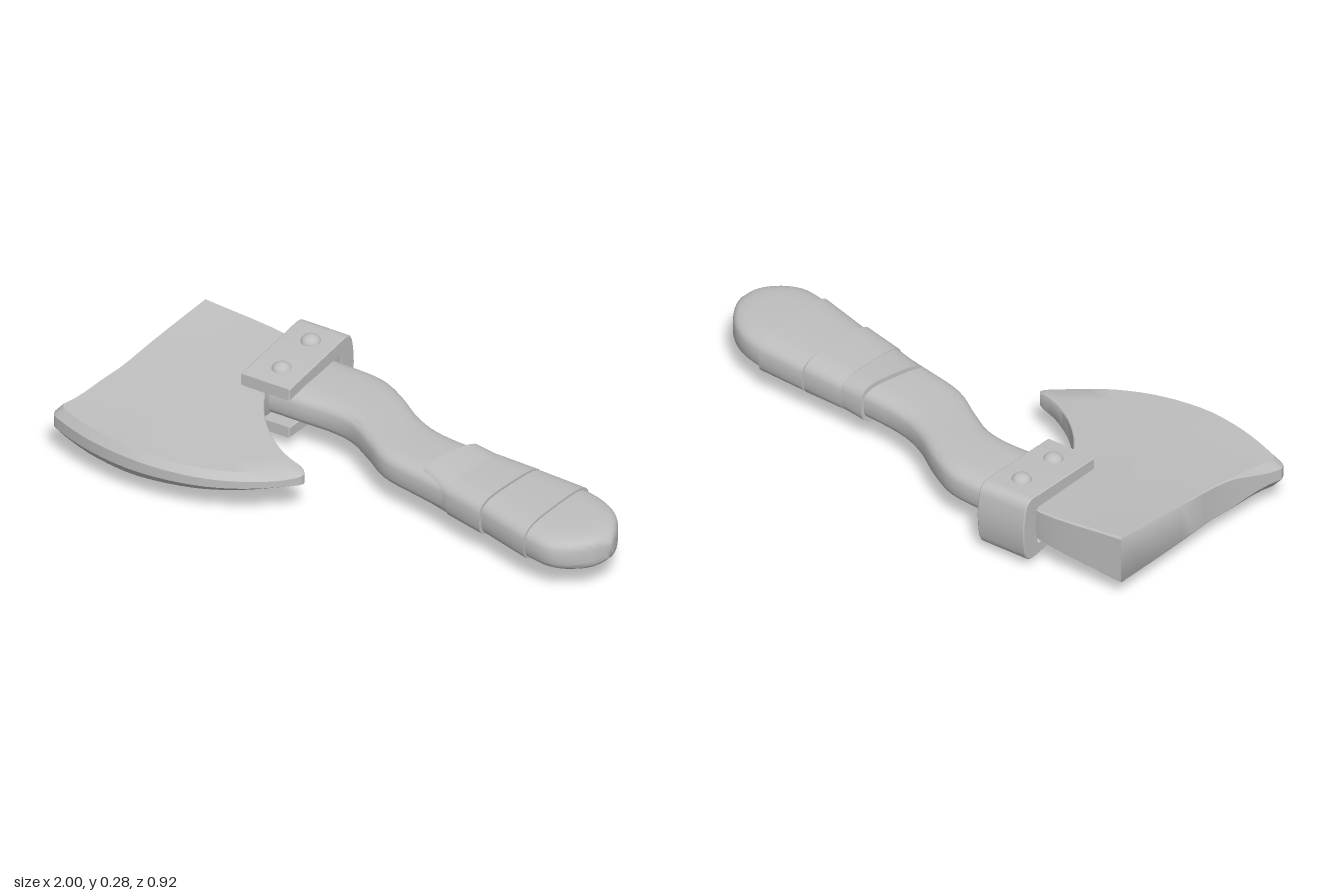
import * as THREE from 'three';
import { toCreasedNormals } from 'three/addons/utils/BufferGeometryUtils.js';

const V = (x, y, z) => new THREE.Vector3(x, y, z);

// Skin over equal-length closed rings, with both ends closed by fans
function loft(rings, crease) {
  const n = rings[0].length, pos = [], idx = [];
  rings.forEach(r => r.forEach(p => pos.push(p.x, p.y, p.z)));
  for (let i = 0; i < rings.length - 1; i++) {
    for (let j = 0; j < n; j++) {
      const a = i * n + j, b = i * n + (j + 1) % n;
      idx.push(a, b, a + n, b, b + n, a + n);
    }
  }
  [0, rings.length - 1].forEach(i => {
    const c = rings[i].reduce((s, p) => s.add(p), V(0, 0, 0)).divideScalar(n);
    const k = pos.length / 3;
    pos.push(c.x, c.y, c.z);
    for (let j = 0; j < n; j++) {
      const a = i * n + j, b = i * n + (j + 1) % n;
      if (i === 0) idx.push(k, b, a); else idx.push(k, a, b);
    }
  });
  // Turn the skin outward if its signed volume is negative
  const at = i => V(pos[3 * i], pos[3 * i + 1], pos[3 * i + 2]);
  let volume = 0;
  for (let i = 0; i < idx.length; i += 3) volume += at(idx[i]).dot(at(idx[i + 1]).cross(at(idx[i + 2])));
  if (volume < 0) idx.reverse();
  const g = new THREE.BufferGeometry();
  g.setAttribute('position', new THREE.Float32BufferAttribute(pos, 3));
  g.setIndex(idx);
  return toCreasedNormals(g, crease);
}

// Rounded-box section between a back point and a front point of the grip
function section([bx, bz, fx, fz, h], cy = 0.141, n = 36, power = 3.6) {
  const soft = v => Math.sign(v) * Math.pow(Math.abs(v), 2 / power);
  return Array.from({ length: n }, (_, i) => {
    const t = i / n * Math.PI * 2, u = soft(Math.cos(t)) / 2 + 0.5;
    return V(bx + (fx - bx) * u, cy + h * soft(Math.sin(t)), bz + (fz - bz) * u);
  });
}

export function createModel() {
  const model = new THREE.Group();
  const grey = new THREE.MeshStandardMaterial({ color: 0xbfbfbf });
  grey.name = 'grey';
  const add = (name, geometry) => {
    const m = new THREE.Mesh(geometry, grey);
    m.name = name;
    model.add(m);
    return m;
  };

  // Handle: back x, back z, front x, front z, half thickness
  const stations = [
    [-0.5, -0.385, -0.5, -0.1, 0.062], [-0.35, -0.385, -0.35, -0.1, 0.063],
    [-0.17, -0.37, -0.2, -0.1, 0.063], [-0.06, -0.315, -0.12, -0.083, 0.062],
    [0.05, -0.24, -0.02, -0.025, 0.06], [0.15, -0.197, 0.09, 0.045, 0.06],
    [0.33, -0.172, 0.26, 0.085, 0.063], [0.56, -0.16, 0.53, 0.142, 0.065],
    [0.76, -0.153, 0.75, 0.203, 0.065], [0.86, -0.125, 0.85, 0.218, 0.064],
    [0.93, -0.075, 0.915, 0.19, 0.061], [0.975, -0.01, 0.965, 0.14, 0.052],
    [0.998, 0.05, 0.995, 0.085, 0.03],
  ];
  const back = new THREE.CatmullRomCurve3(stations.map(s => V(s[0], s[4], s[1])));
  const front = new THREE.CatmullRomCurve3(stations.map(s => V(s[2], s[4], s[3])));
  const rings = [];
  for (let i = 0; i <= 60; i++) {
    const b = back.getPoint(i / 60), f = front.getPoint(i / 60);
    rings.push(section([b.x, b.z, f.x, f.z, b.y]));
  }
  add('handle', loft(rings, 0.9));

  // Overlapping grip wraps
  const wraps = [
    [[0.33, -0.182, 0.255, 0.068, 0.079], [0.44, -0.174, 0.395, 0.118, 0.068]],
    [[0.415, -0.178, 0.385, 0.118, 0.071], [0.575, -0.17, 0.54, 0.156, 0.075]],
    [[0.58, -0.172, 0.545, 0.148, 0.07], [0.765, -0.16, 0.75, 0.21, 0.073]],
  ];
  wraps.forEach(([a, b], i) => {
    const mid = a.map((v, k) => (v + b[k]) / 2);
    add('gripWrap' + (i + 1), loft([a, mid, b].map(s => section(s)), 0.7));
  });

  // Blade outline as x, z: straight poll and neck, then smooth edges
  const outline = [];
  const edge = (pts, n) => {
    const c = new THREE.CatmullRomCurve3(pts.map(p => V(p[0], 0, p[1])));
    for (let i = 0; i < n; i++) outline.push(c.getPoint(i / n));
  };
  edge([[-0.89, -0.4], [-0.56, -0.398], [-0.44, -0.36]], 8);
  edge([[-0.44, -0.36], [-0.45, -0.08]], 6);
  edge([[-0.45, -0.08], [-0.38, 0.03], [-0.28, 0.13], [-0.18, 0.187], [-0.11, 0.21]], 14);
  edge([[-0.11, 0.21], [-0.096, 0.235], [-0.14, 0.29], [-0.25, 0.37], [-0.4, 0.432],
    [-0.6, 0.457], [-0.8, 0.432], [-0.95, 0.382], [-0.99, 0.362], [-1, 0.34]], 36);
  edge([[-1, 0.34], [-0.955, 0.2], [-0.927, 0.07], [-0.915, -0.1], [-0.89, -0.4]], 12);

  // The blade thins from the poll toward the cutting edge and its tip
  const { clamp, lerp, smoothstep } = THREE.MathUtils;
  const half = (x, z) => lerp(
    lerp(0.092, 0.052, clamp((x + 0.9) / 0.42, 0, 1)),
    lerp(0.052, 0.026, clamp((x + 0.65) / 0.55, 0, 1)),
    clamp((z + 0.4) / 0.7, 0, 1));
  const middle = z => lerp(0.15, 0.127, clamp((z + 0.4) / 0.8, 0, 1));
  const layer = (side, scale, rim) => outline.map(p => {
    const sharp = smoothstep(p.z, 0.12, 0.32);
    const s = rim ? 1 : scale === 1 ? lerp(0.988, 0.93, sharp) : scale;
    const x = -0.6 + (p.x + 0.6) * s, z = 0.15 + (p.z - 0.15) * s;
    return V(x, middle(z) + side * half(x, z) * (rim ? lerp(0.92, 0.4, sharp) : 1), z);
  });
  const inner = [0.05, 0.25, 0.5, 0.75];
  add('blade', loft([
    ...inner.map(s => layer(1, s, false)), layer(1, 1, false), layer(1, 1, true),
    layer(-1, 1, true), layer(-1, 1, false), ...inner.map(s => layer(-1, s, false)).reverse(),
  ], 0.6));

  // Clamp: U-shaped profile (z, y) extruded along x
  const u = new THREE.Shape();
  u.moveTo(-0.075, 0.232);
  u.lineTo(-0.41, 0.261);
  u.quadraticCurveTo(-0.445, 0.262, -0.452, 0.225);
  u.quadraticCurveTo(-0.47, 0.145, -0.452, 0.065);
  u.quadraticCurveTo(-0.445, 0.028, -0.41, 0.028);
  u.lineTo(-0.075, 0.052);
  u.lineTo(-0.075, 0.086);
  u.lineTo(-0.385, 0.068);
  u.lineTo(-0.4, 0.141);
  u.lineTo(-0.385, 0.213);
  u.lineTo(-0.075, 0.194);
  u.closePath();
  const clampGeo = new THREE.ExtrudeGeometry(u, {
    depth: 0.182, bevelEnabled: true, bevelThickness: 0.004, bevelSize: 0.003, bevelSegments: 1, curveSegments: 6,
  });
  clampGeo.rotateY(-Math.PI / 2).translate(-0.354, 0, 0);
  add('clamp', toCreasedNormals(clampGeo, 0.6));

  // Domed rivets on both faces of the clamp
  const dome = new THREE.SphereGeometry(0.035, 24, 16);
  [[-0.34, 0.252, 0.028], [-0.165, 0.235, 0.047]].forEach(([z, top, bottom]) => {
    [top, bottom].forEach(y => {
      const rivet = add('rivet', dome);
      rivet.scale.y = 0.8;
      rivet.position.set(-0.44, y, z);
    });
  });
  return model;
}
